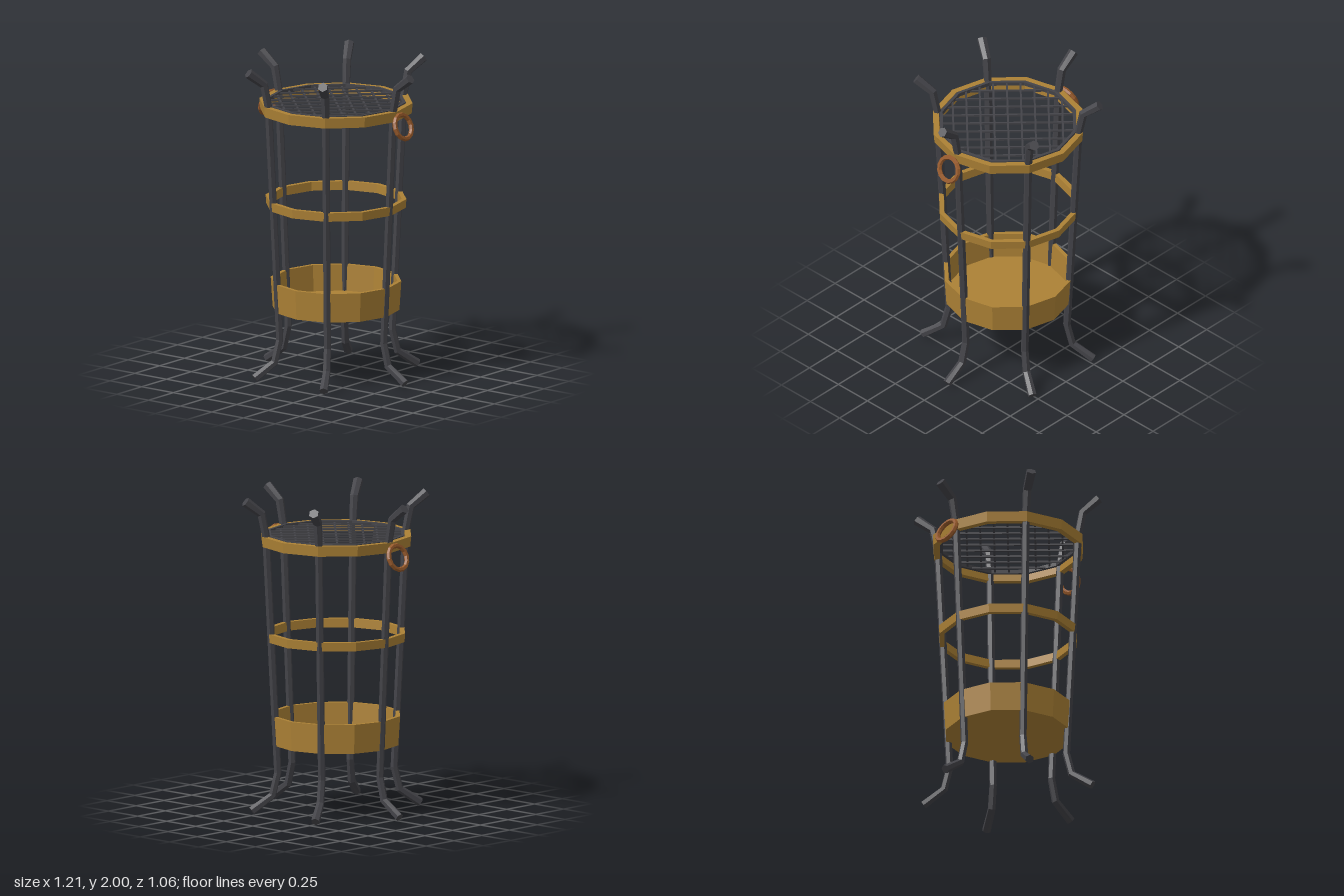
import * as THREE from 'three';

const wood = new THREE.MeshStandardMaterial({ color: 0xac8135 });
wood.name = 'golden wood';
const iron = new THREE.MeshStandardMaterial({ color: 0x434348 });
iron.name = 'dark iron';
const copper = new THREE.MeshStandardMaterial({ color: 0x96592a });
copper.name = 'copper';

// Separate every face so each facet gets its own flat normal
function facetedMesh(name, geometry, material) {
  const g = geometry.index ? geometry.toNonIndexed() : geometry;
  g.computeVertexNormals();
  const mesh = new THREE.Mesh(g, material);
  mesh.name = name;
  return mesh;
}

// Twelve-sided turned part from [radius, height] points
function turned(name, profile, material) {
  const points = profile.map(([r, y]) => new THREE.Vector2(r, y));
  return facetedMesh(name, new THREE.LatheGeometry(points, 12), material);
}

// Twelve-sided band with rectangular section
function band(name, rBottom, rTop, thickness, y0, y1, material) {
  return turned(name, [
    [rBottom - thickness, y0], [rBottom, y0], [rTop, y1],
    [rTop - thickness, y1], [rBottom - thickness, y0],
  ], material);
}

// Hexagonal bar swept along a bent path of [x, y, radius] in the xy plane
function bentBar(path) {
  const sides = 6;
  const pts = path.map(([x, y]) => new THREE.Vector2(x, y));
  const position = [];
  const index = [];
  path.forEach(([x, y, r], i) => {
    const t = new THREE.Vector2();
    if (i > 0) t.add(pts[i].clone().sub(pts[i - 1]).normalize());
    if (i < pts.length - 1) t.add(pts[i + 1].clone().sub(pts[i]).normalize());
    t.normalize();
    for (let j = 0; j < sides; j++) {
      const a = (j / sides) * Math.PI * 2;
      const c = Math.cos(a) * r;
      position.push(x + t.y * c, y - t.x * c, Math.sin(a) * r);
    }
  });
  for (let i = 0; i < path.length - 1; i++) {
    for (let j = 0; j < sides; j++) {
      const k = (j + 1) % sides;
      const a = i * sides + j, b = i * sides + k;
      const c = b + sides, d = a + sides;
      index.push(a, d, c, a, c, b);
    }
  }
  const last = (path.length - 1) * sides;
  for (let j = 1; j < sides - 1; j++) {
    index.push(0, j, j + 1, last, last + j + 1, last + j);
  }
  const g = new THREE.BufferGeometry();
  g.setAttribute('position', new THREE.Float32BufferAttribute(position, 3));
  g.setIndex(index);
  return g;
}

export function createModel() {
  const model = new THREE.Group();
  model.name = 'barrelBrazier';

  // Six legs with splayed feet and flared tips
  const legPath = [
    [0.545, 0.027, 0.028], [0.412, 0.118, 0.025], [0.377, 0.26, 0.024],
    [0.452, 1.75, 0.025], [0.482, 1.9, 0.028], [0.587, 1.982, 0.032],
  ];
  for (let i = 0; i < 6; i++) {
    const leg = facetedMesh('leg', bentBar(legPath), iron);
    leg.rotation.y = (i * Math.PI) / 3;
    model.add(leg);
  }

  // Wooden hoops
  model.add(band('topHoop', 0.475, 0.481, 0.038, 1.69, 1.755, wood));
  model.add(band('middleHoop', 0.438, 0.442, 0.03, 1.085, 1.14, wood));

  // Open tub with a floor
  model.add(turned('tub', [
    [0, 0.43], [0.398, 0.43], [0.41, 0.615], [0.385, 0.615], [0.373, 0.45], [0, 0.45],
  ], wood));

  // Grate frame and its crossed diagonal bars
  const grate = new THREE.Group();
  grate.name = 'grate';
  grate.add(band('grateFrame', 0.438, 0.438, 0.02, 1.735, 1.759, iron));
  const R = 0.43;
  for (let k = -4; k <= 4; k++) {
    const offset = k * 0.085;
    const length = 2 * Math.sqrt(R * R - offset * offset) - 0.015;
    for (const side of [-1, 1]) {
      const bar = facetedMesh('grateBar', new THREE.BoxGeometry(length, 0.012, 0.012), iron);
      const turn = (side * Math.PI) / 4;
      bar.position.set(Math.sin(turn) * offset, 1.745 + side * 0.003, Math.cos(turn) * offset);
      bar.rotation.y = turn;
      grate.add(bar);
    }
  }
  model.add(grate);

  // Tilted ring handles on both sides
  for (const turn of [0, Math.PI]) {
    const side = new THREE.Group();
    side.name = turn ? 'rightHandle' : 'leftHandle';
    const ring = facetedMesh('handleRing',
      new THREE.TorusGeometry(0.077, 0.016, 6, 14).rotateY(Math.PI / 2), copper);
    ring.position.set(0.53, 1.667, 0);
    ring.rotation.z = 0.35;
    side.add(ring);
    side.rotation.y = turn;
    model.add(side);
  }

  return model;
}
